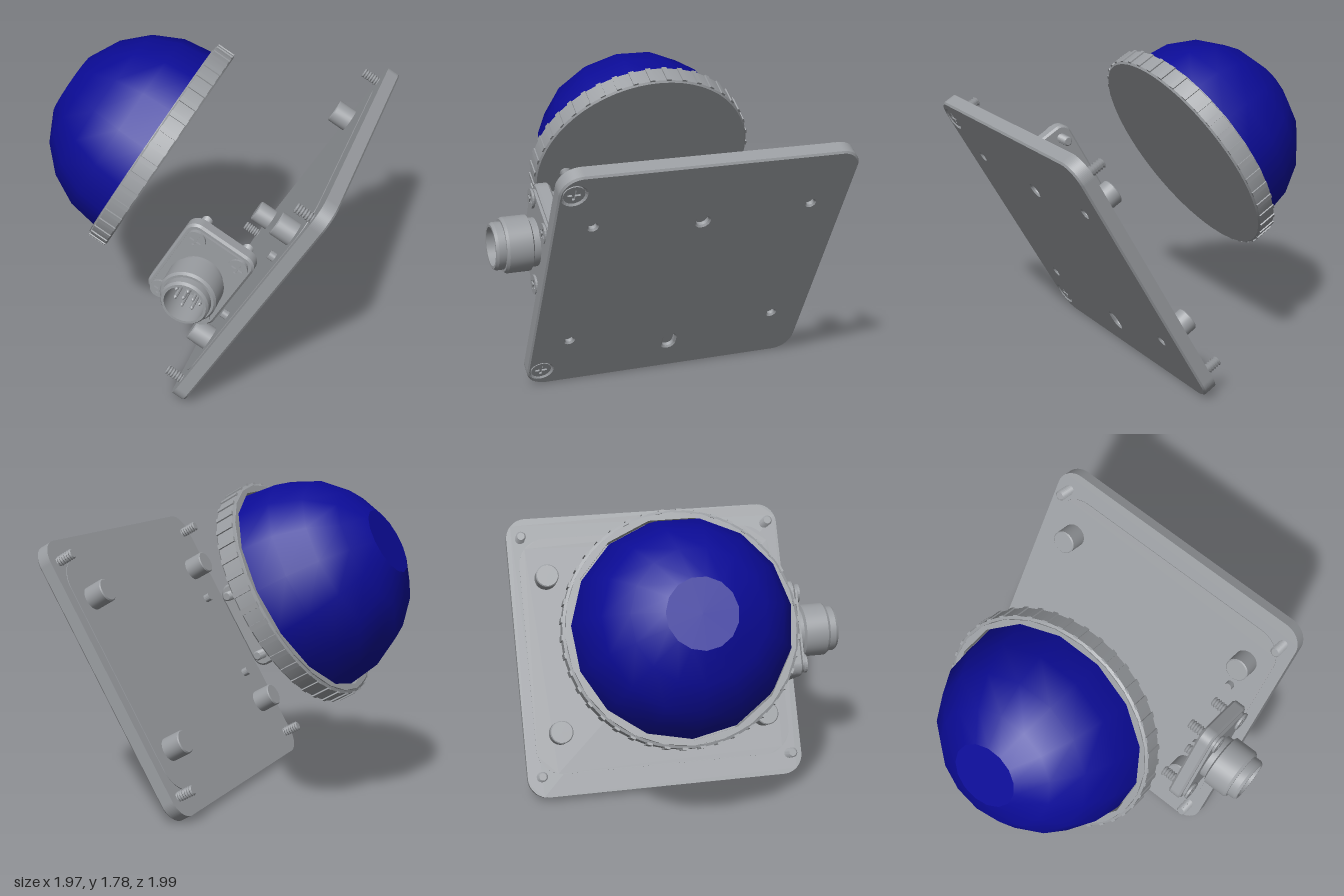
import * as THREE from 'three';
import { toCreasedNormals } from 'three/addons/utils/BufferGeometryUtils.js';

const grey = new THREE.MeshStandardMaterial({ color: 0x9a9da1 });
grey.name = 'grey metal';
const blue = new THREE.MeshStandardMaterial({ color: 0x0b0b96 });
blue.name = 'blue lens';

function add(parent, name, geometry, position = [0, 0, 0], material = grey) {
  const mesh = new THREE.Mesh(geometry, material);
  mesh.name = name;
  mesh.position.set(...position);
  parent.add(mesh);
  return mesh;
}

// Turned part along +z; profile points are [radius, z]
function turned(points, sides = 32, crease = 0.5) {
  const g = new THREE.LatheGeometry(points.map(([r, z]) => new THREE.Vector2(r, z)), sides);
  g.rotateX(Math.PI / 2);
  return crease ? toCreasedNormals(g, crease) : g;
}

function roundedRect(w, h, r) {
  const s = new THREE.Shape(), x = w / 2, y = h / 2;
  s.absarc(x - r, y - r, r, 0, Math.PI / 2);
  s.absarc(r - x, y - r, r, Math.PI / 2, Math.PI);
  s.absarc(r - x, r - y, r, Math.PI, Math.PI * 1.5);
  s.absarc(x - r, r - y, r, Math.PI * 1.5, Math.PI * 2);
  s.closePath();
  return s;
}

function circle(x, y, r) {
  return new THREE.Path().absarc(x, y, r, 0, Math.PI * 2, true);
}

function extrude(shape, depth, bevel = 0) {
  return new THREE.ExtrudeGeometry(shape, {
    depth: depth - 2 * bevel, curveSegments: 12, bevelEnabled: bevel > 0, bevelThickness: bevel,
    bevelSize: bevel, bevelOffset: -bevel, bevelSegments: 1,
  }).translate(0, 0, bevel);
}

// Cross-head screw: head top at z = 0, threaded shank towards -z
function screw(headRadius, length) {
  const g = new THREE.Group();
  g.name = 'screw';
  const head = new THREE.Shape().absarc(0, 0, headRadius, 0, Math.PI * 2);
  const a = headRadius * 0.13, b = headRadius * 0.6;
  head.holes.push(new THREE.Path([[a, b], [a, a], [b, a], [b, -a], [a, -a], [a, -b],
    [-a, -b], [-a, -a], [-b, -a], [-b, a], [-a, a], [-a, b]].map(p => new THREE.Vector2(...p))));
  add(g, 'screwHead', extrude(head, 0.012), [0, 0, -0.012]);
  add(g, 'screwHeadBase', turned([[0, -0.03], [headRadius * 0.7, -0.03], [headRadius, -0.012], [0, -0.012]], 24));
  const thread = [[0, -length], [0.022, -length]];
  for (let z = -length + 0.008; z < -0.03; z += 0.016) thread.push([0.03, z], [0.022, z + 0.008]);
  add(g, 'screwThread', turned(thread, 14, 0.4));
  return g;
}

const corners = [[-1, -1], [1, -1], [1, 1], [-1, 1]];

// Square back plate: x across, y up the slope, z towards the lens
function buildPlate() {
  const g = new THREE.Group();
  g.name = 'backPlate';
  const back = roundedRect(1.667, 1.667, 0.12);
  for (const [sx, sy] of corners) {
    back.holes.push(circle(sx * 0.753, sy * 0.711, 0.062), circle(sx * 0.62, sy * 0.464, 0.022));
  }
  back.holes.push(circle(0, 0.412, 0.035));
  const slot = new THREE.Path();
  slot.absarc(0, -0.575, 0.035, 0, Math.PI);
  slot.absarc(0, -0.617, 0.035, Math.PI, Math.PI * 2);
  slot.closePath();
  back.holes.push(slot);
  add(g, 'plateBack', extrude(back, 0.04, 0.01), [0, 0, -0.04]);
  add(g, 'plateFront', extrude(roundedRect(1.667, 1.667, 0.12), 0.05), [0, 0, -0.01]);
  add(g, 'platePad', extrude(roundedRect(1.54, 1.41, 0.16), 0.006), [0, 0, 0.038]);

  for (const [sx, sy] of corners) {
    const s = screw(0.058, 0.175);
    s.rotation.x = Math.PI;
    s.position.set(sx * 0.753, sy * 0.711, -0.034);
    g.add(s);
    add(g, 'standoff', turned([[0.068, 0], [0.068, 0.115], [0.062, 0.121], [0, 0.121]], 24),
      [sx * 0.62, sy * 0.464, 0.035]);
  }
  for (const sy of [-1, 1]) {
    add(g, 'locatingPin', turned([[0.025, 0], [0.025, 0.045], [0, 0.045]], 16), [0.61, sy * 0.26, 0.035]);
  }
  return g;
}

// Ribbed ring holding the faceted dome
function buildLens() {
  const g = new THREE.Group();
  g.name = 'lensAssembly';
  const sides = 15;
  add(g, 'lensRing', turned([[0, 0], [0.64, 0], [0.65, 0.01], [0.65, 0.11], [0.635, 0.118]], 60));
  const rim = new THREE.Shape().absarc(0, 0, 0.637, 0, Math.PI * 2);
  const opening = [];
  for (let i = 0; i < sides; i++) {
    const t = -Math.PI / 2 - i / sides * Math.PI * 2;
    opening.push(new THREE.Vector2(Math.cos(t) * 0.61, Math.sin(t) * 0.61));
  }
  rim.holes.push(new THREE.Path(opening));
  add(g, 'lensRingRim', extrude(rim, 0.1), [0, 0, 0.022]);
  const count = 42;
  for (let i = 0; i < count; i++) {
    const t = i / count * Math.PI * 2;
    const rib = add(g, 'gripRib', new THREE.BoxGeometry(0.014, 0.03, 0.105),
      [Math.cos(t) * 0.65, Math.sin(t) * 0.65, 0.06]);
    rib.rotation.z = t;
  }
  // Dome with a small flat cap
  const r = 0.6, profile = [[r, 0.02]], last = 1.25;
  for (let i = 0; i <= 4; i++) {
    const a = i / 4 * last;
    profile.push([r * Math.cos(a), 0.04 + r * Math.sin(a)]);
  }
  add(g, 'dome', turned(profile, sides, 0), [0, 0, 0.06 - 0.065 + 0.09 - 0.02 + 0.0], blue);
  add(g, 'domeCap', new THREE.CircleGeometry(r * Math.cos(last), sides, -Math.PI / 2),
    [0, 0, 0.065 + 0.04 + r * Math.sin(last)], blue);
  return g;
}

// Flanged round connector, axis along its own z
function buildConnector() {
  const g = new THREE.Group();
  g.name = 'connector';
  add(g, 'flange', extrude(roundedRect(0.42, 0.56, 0.07), 0.08, 0.012));
  add(g, 'flangeFace', extrude(roundedRect(0.37, 0.51, 0.055), 0.02), [0, 0, 0.075]);
  add(g, 'connectorShell', turned([[0.135, 0.09], [0.135, 0.13], [0.155, 0.14], [0.155, 0.27], [0.145, 0.285],
    [0.132, 0.285], [0.132, 0.325], [0.122, 0.34], [0.108, 0.34], [0.108, 0.12], [0, 0.12]], 36));
  for (const [n, radius] of [[8, 0.072], [3, 0.03]]) {
    for (let i = 0; i < n; i++) {
      const t = i / n * Math.PI * 2;
      add(g, 'contactPin', turned([[0.01, 0], [0.01, 0.15], [0, 0.16]], 8),
        [Math.cos(t) * radius, Math.sin(t) * radius, 0.12]);
    }
  }
  for (const [sx, sy] of corners) {
    const s = screw(0.055, 0.205);
    s.position.set(sx * 0.131, sy * 0.207, 0.112);
    g.add(s);
  }
  return g;
}

export function createModel() {
  const model = new THREE.Group();
  model.name = 'explodedLampAssembly';
  const assembly = new THREE.Group();
  assembly.name = 'tiltedAssembly';

  const lens = buildLens();
  lens.position.z = 0.815;
  const connector = buildConnector();
  connector.rotation.y = Math.PI / 2;
  connector.position.set(0.69, 0, 0.315);
  assembly.add(buildPlate(), lens, connector);

  // Lean the whole assembly back by 30 degrees and turn it towards the side
  const turn = 0.2208, lean = Math.PI / 3;
  const across = new THREE.Vector3(Math.sin(turn), 0, Math.cos(turn));
  const level = new THREE.Vector3(Math.cos(turn), 0, -Math.sin(turn));
  const slope = level.clone().multiplyScalar(Math.cos(lean)).setY(Math.sin(lean));
  const outward = across.clone().cross(slope);
  assembly.quaternion.setFromRotationMatrix(new THREE.Matrix4().makeBasis(across, slope, outward));
  assembly.position.set(0.38, 0.7425, -0.1);
  model.add(assembly);
  return model;
}
